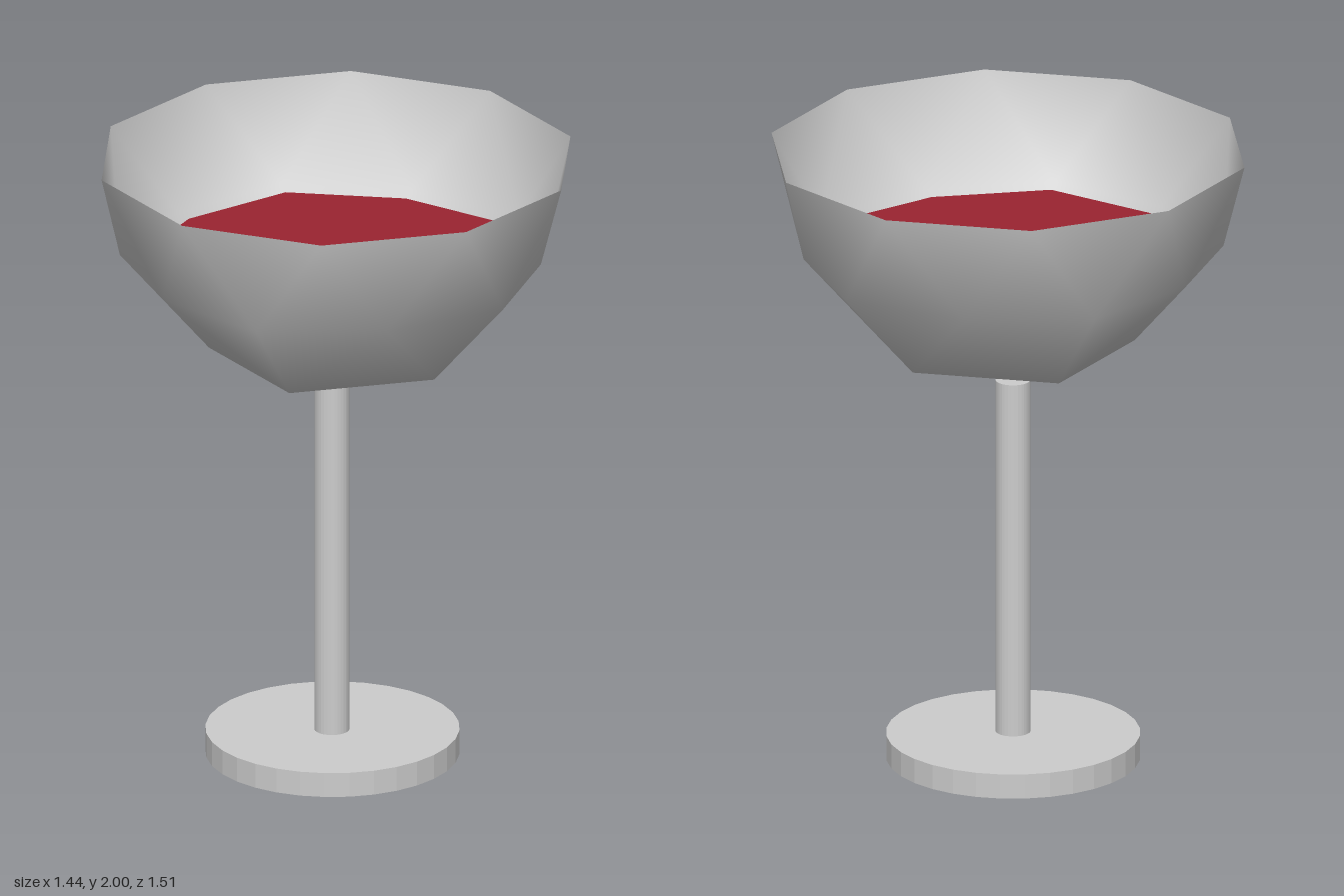
import * as THREE from 'three';

const SIDES = 10;
const RIM_Y = 2, RING_Y = 1.66, LOW_Y = 1.356, POLE_Y = 1.245;
const step = Math.PI / 5;
// the middle ring alternates between a wider and a narrower radius
const ringRadius = (i) => (i % 2 ? 0.677 : 0.642);

// Faceted half-sphere bowl: rim of ten, ring of ten, ring of five, pole
function bowlGeometry() {
  const pos = [], index = [];
  const add = (r, y, a) => pos.push(r * Math.cos(a), y, r * Math.sin(a));
  for (let i = 0; i < SIDES; i++) add(0.757, RIM_Y, (i + 0.5) * step);
  for (let i = 0; i < SIDES; i++) add(ringRadius(i), RING_Y, i * step);
  for (let i = 1; i < SIDES; i += 2) add(0.398, LOW_Y, i * step);
  add(0, POLE_Y, 0);

  const wrap = (i) => (i + SIDES) % SIDES;
  const rim = (i) => wrap(i);
  const ring = (i) => SIDES + wrap(i);
  const low = (i) => 2 * SIDES + (wrap(i) - 1) / 2;
  const pole = 2 * SIDES + 5;
  for (let i = 0; i < SIDES; i++) {
    index.push(ring(i + 1), ring(i), rim(i));
    index.push(rim(i), ring(i), rim(i - 1));
    if (i % 2) {
      index.push(ring(i + 1), low(i), ring(i));
      index.push(ring(i), low(i), ring(i - 1));
    } else {
      index.push(low(i + 1), low(i - 1), ring(i));
      index.push(low(i + 1), pole, low(i - 1));
    }
  }
  const g = new THREE.BufferGeometry();
  g.setAttribute('position', new THREE.Float32BufferAttribute(pos, 3));
  g.setIndex(index);
  g.computeVertexNormals();
  return g;
}

// Flat drink surface following the bowl's middle ring, slightly smaller
function drinkGeometry() {
  const points = [];
  for (let i = 0; i < SIDES; i++) {
    const r = ringRadius(i) * 0.93;
    points.push(new THREE.Vector2(r * Math.cos(i * step), r * Math.sin(i * step)));
  }
  return new THREE.ShapeGeometry(new THREE.Shape(points)).rotateX(-Math.PI / 2);
}

export function createModel() {
  const glass = new THREE.MeshStandardMaterial({ color: 0xcccccc, side: THREE.DoubleSide });
  glass.name = 'glass grey';
  const glassFlat = glass.clone();
  glassFlat.flatShading = true;
  glassFlat.name = 'glass grey faceted';
  const wine = new THREE.MeshStandardMaterial({ color: 0x9a2430, side: THREE.DoubleSide });
  wine.name = 'wine red';

  const model = new THREE.Group();
  model.name = 'wineGlass';
  const addPart = (name, geometry, material, x, y, z) => {
    const mesh = new THREE.Mesh(geometry, material);
    mesh.name = name;
    mesh.position.set(x, y, z);
    model.add(mesh);
  };

  addPart('bowl', bowlGeometry(), glass, 0, 0, 0);
  addPart('wine', drinkGeometry(), wine, 0, 1.65, 0);
  // stem and foot sit slightly off the bowl's axis
  addPart('stem', new THREE.CylinderGeometry(0.055, 0.055, 1.17, 32), glassFlat, -0.014, 0.66, -0.018);
  addPart('foot', new THREE.CylinderGeometry(0.398, 0.398, 0.08, 32), glassFlat, -0.013, 0.04, -0.031);
  return model;
}
